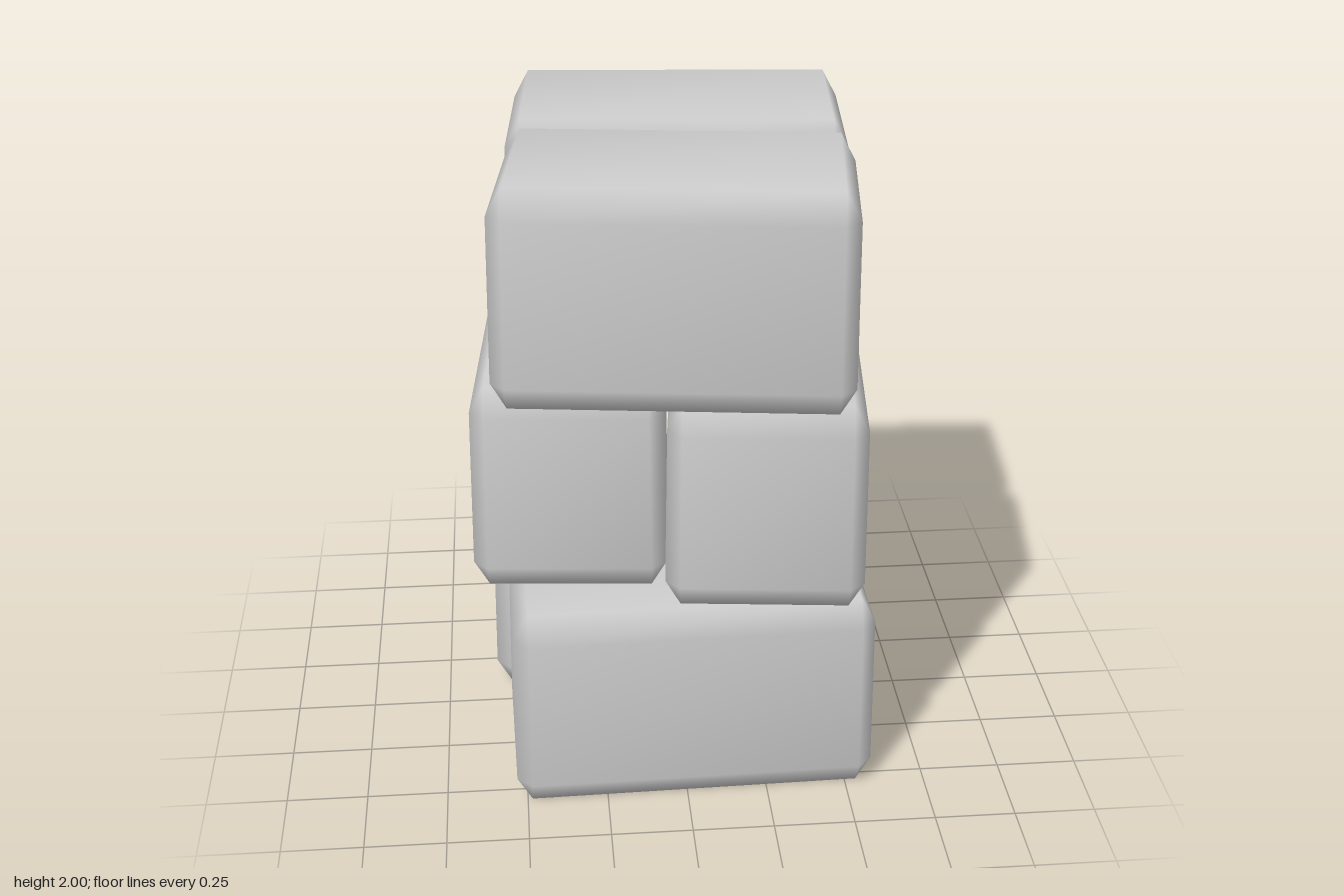
import * as THREE from 'three';

const LAYER = 2 / 3; // height of one block

// Box with single-step bevels on all edges, shared vertices for soft shading.
// Slightly flared at the foot. Stands on y = 0, long side along x.
function blockGeometry(length, width) {
  const hx = length / 2, hz = width / 2, cut = 0.045, flare = 0.006;
  const corners = [[1, 1], [1, -1], [-1, -1], [-1, 1]]; // counter-clockwise from above
  const pos = [], idx = [];

  const addCap = (y, inset) => corners.forEach(([sx, sz]) =>
    pos.push(sx * (hx - inset), y, sz * (hz - inset)));
  const addOctagon = (y, grow) => corners.forEach(([sx, sz], i) => {
    const x = hx + grow, z = hz + grow;
    const onZ = [sx * (x - cut), y, sz * z], onX = [sx * x, y, sz * (z - cut)];
    pos.push(...(i % 2 ? [...onX, ...onZ] : [...onZ, ...onX]));
  });
  addCap(0, 0.04);            // 0..3
  addOctagon(0.08, flare);    // 4..11
  addOctagon(LAYER - 0.085, 0); // 12..19
  addCap(LAYER, 0.045);       // 20..23

  const B = i => i % 4, L = i => 4 + i % 8, U = i => 12 + i % 8, T = i => 20 + i % 4;
  const quad = (a, b, c, d) => idx.push(a, b, c, a, c, d);
  for (let k = 0; k < 8; k++) quad(L(k), L(k + 1), U(k + 1), U(k)); // walls
  for (let i = 0; i < 4; i++) {
    const k = 2 * i;
    idx.push(U(k), U(k + 1), T(i), L(k + 1), L(k), B(i)); // corner facets
    quad(U(k + 1), U(k + 2), T(i + 1), T(i));             // top bevel
    quad(L(k + 2), L(k + 1), B(i), B(i + 1));             // bottom bevel
  }
  idx.push(T(0), T(1), T(3), T(1), T(2), T(3)); // top
  idx.push(B(1), B(0), B(3), B(2), B(1), B(3)); // bottom

  const geo = new THREE.BufferGeometry();
  geo.setAttribute('position', new THREE.Float32BufferAttribute(pos, 3));
  geo.setIndex(idx);
  geo.computeVertexNormals();
  return geo;
}

export function createModel() {
  const model = new THREE.Group();
  model.name = 'stackedBlocks';
  const material = new THREE.MeshStandardMaterial({ color: 0xcccccc });
  const turn = Math.PI / 2;

  // name, layer, x, z, length, width, yaw
  const blocks = [
    ['bottomFrontBlock', 0, 0.02, 0.295, 1.1, 0.575, 0.02],
    ['bottomBackBlock', 0, -0.017, -0.332, 1.1, 0.58, -0.064],
    ['middleRightBlock', 1, -0.312, -0.03, 0.88, 0.575, turn - 0.08],
    ['middleLeftBlock', 1, 0.285, 0.03, 1.1, 0.585, turn - 0.105],
    ['topFrontBlock', 2, -0.015, 0.298, 1.03, 0.585, -0.122],
    ['topBackBlock', 2, 0.033, -0.295, 1.025, 0.58, -0.076],
  ];
  for (const [name, layer, x, z, length, width, yaw] of blocks) {
    const block = new THREE.Mesh(blockGeometry(length, width), material);
    block.name = name;
    block.position.set(x, layer * LAYER, z);
    block.rotation.y = yaw;
    model.add(block);
  }
  return model;
}
